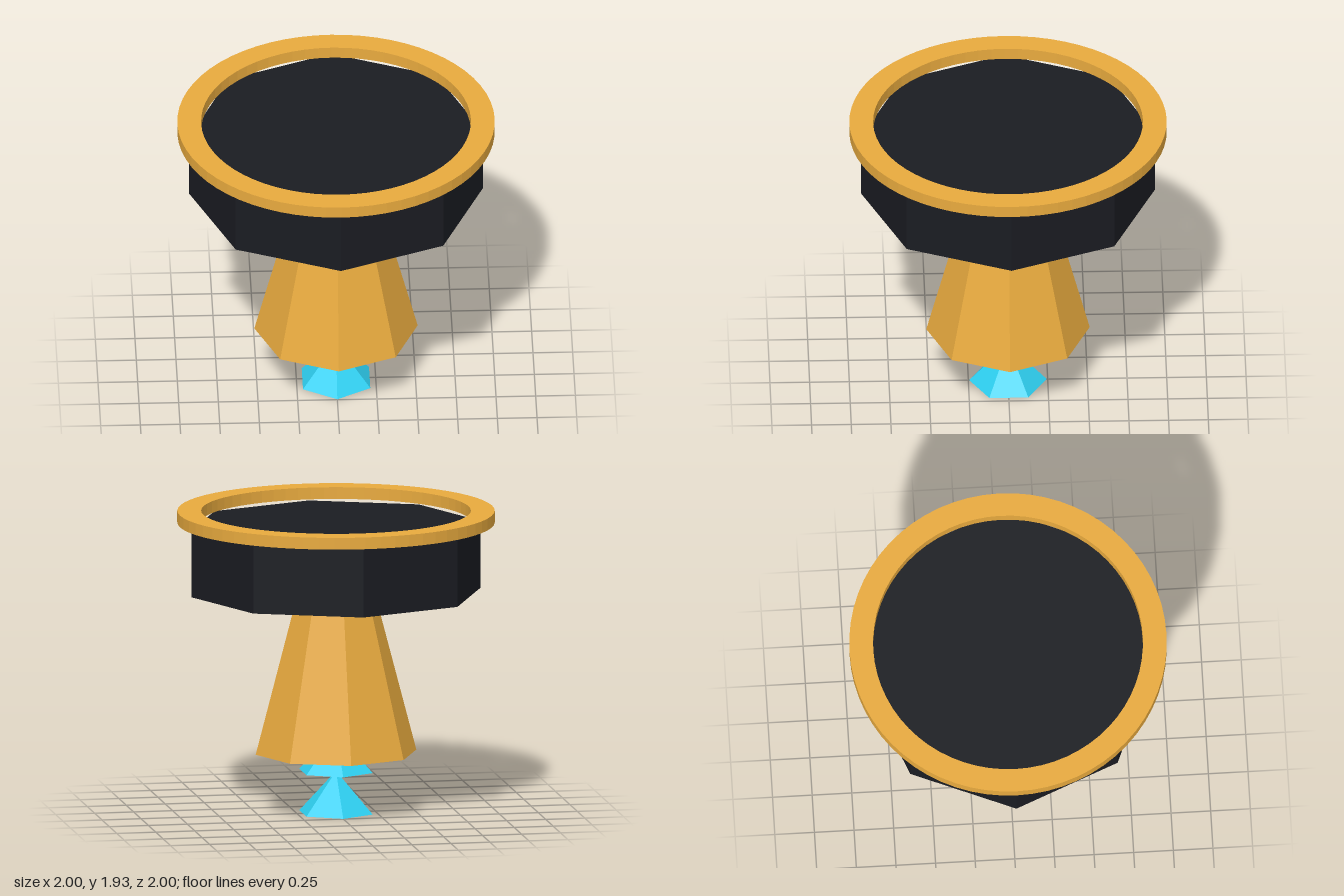
import * as THREE from 'three';

const material = (color) => new THREE.MeshStandardMaterial({ color, flatShading: true });

export function createModel() {
  const model = new THREE.Group();
  const gold = material(0xe8aa3e);
  const dark = material(0x1a1c22);
  const cyan = material(0x2ecff0);

  const add = (name, geometry, mat, y) => {
    const mesh = new THREE.Mesh(geometry, mat);
    mesh.name = name;
    mesh.position.y = y;
    model.add(mesh);
  };

  // Tapered prism standing between two heights
  const prism = (name, rTop, rBottom, y0, y1, sides, mat) =>
    add(name, new THREE.CylinderGeometry(rTop, rBottom, y1 - y0, sides), mat, (y0 + y1) / 2);

  // Faceted gem: pointed below, cut flat where it meets the stem
  prism('gemPoint', 0, 0.245, 0, 0.265, 6, cyan);
  prism('gemCrown', 0.125, 0.245, 0.265, 0.39, 6, cyan);

  // Eight-sided flared stem and drum
  prism('stem', 0.245, 0.515, 0.385, 1.41, 8, gold);
  prism('drum', 0.925, 0.925, 1.405, 1.835, 8, dark);

  // Flat ring floating just above the drum
  const outline = new THREE.Shape().absarc(0, 0, 1, 0, Math.PI * 2);
  outline.holes.push(new THREE.Path().absarc(0, 0, 0.85, 0, Math.PI * 2, true));
  const ring = new THREE.ExtrudeGeometry(outline, { depth: 0.075, bevelEnabled: false, curveSegments: 32 });
  ring.rotateX(-Math.PI / 2);
  add('rimRing', ring, gold, 1.855);

  return model;
}
